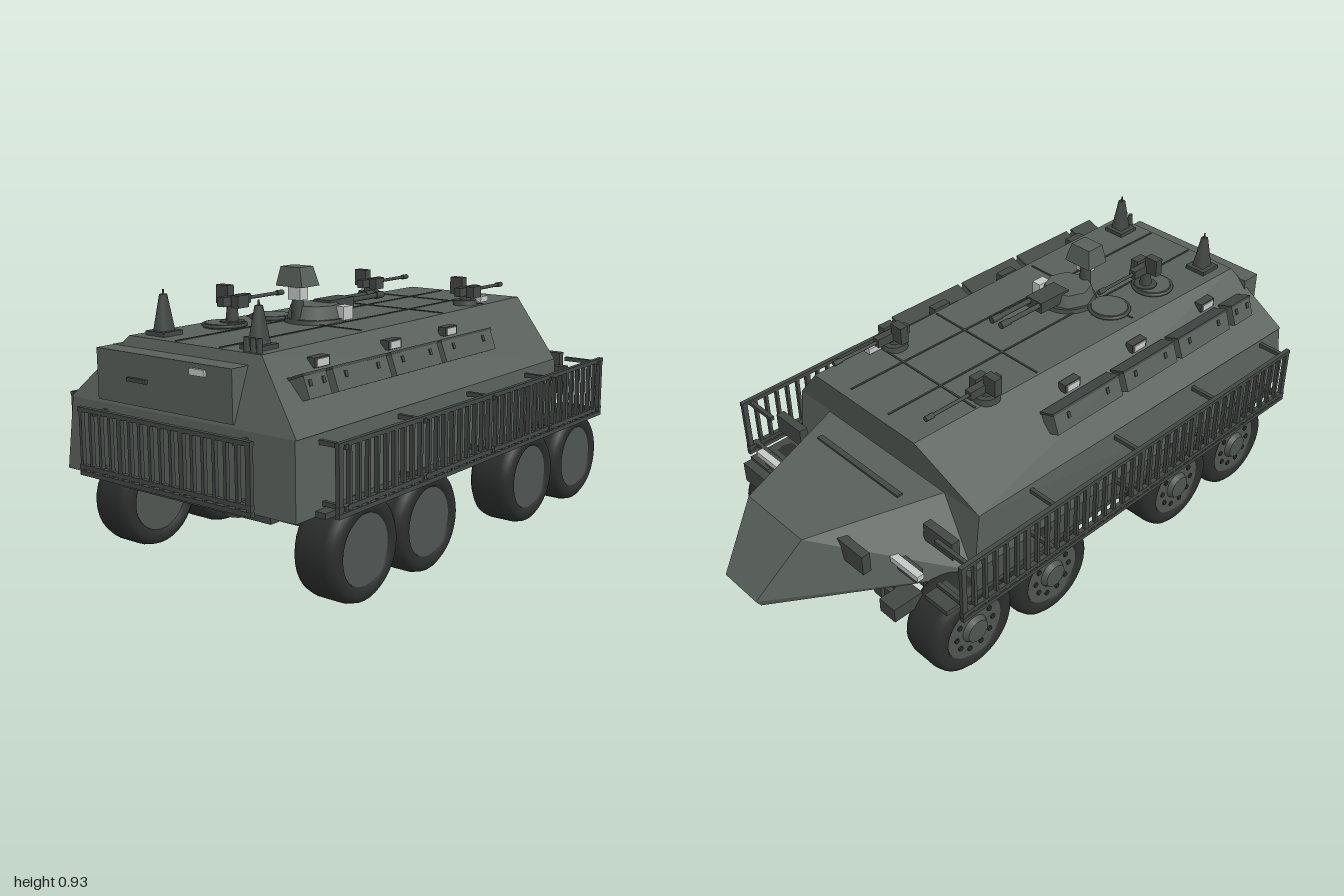
import * as THREE from 'three';
import { mergeGeometries } from 'three/addons/utils/BufferGeometryUtils.js';
import { ConvexGeometry } from 'three/addons/geometries/ConvexGeometry.js';

const mat = (name, color) => Object.assign(new THREE.MeshStandardMaterial({ color }), { name });
const hull = mat('armour grey green', 0x59605b);
const trim = mat('dark trim', 0x434845);
const rimGrey = mat('wheel grey', 0x4f5451);
const rubber = mat('tyre rubber', 0x2c2d2d);
const glass = mat('pale optics', 0xc4c8c6);

// Local frame: x forward, y up, z to the vehicle's right-hand side.
const box = (l, h, w, x = 0, y = 0, z = 0) => new THREE.BoxGeometry(l, h, w).translate(x, y, z);
const cyl = (r0, r1, h, n = 20) => new THREE.CylinderGeometry(r0, r1, h, n);
const rod = (r, l, x, y, z, n = 10) => cyl(r, r, l, n).rotateZ(Math.PI / 2).translate(x, y, z);
const solid = (pts) => new ConvexGeometry(
  pts.flatMap(([x, y, z]) => [new THREE.Vector3(x, y, z), new THREE.Vector3(x, y, -z)]));

export function createModel() {
  const root = new THREE.Group();
  const car = new THREE.Group();
  car.name = 'armouredCarrier';
  car.rotation.y = 0.609;
  root.add(car);

  const add = (name, geo, m, parent = car) => {
    const mesh = new THREE.Mesh(geo, m);
    mesh.name = name;
    parent.add(mesh);
    return mesh;
  };
  const sides = [-1, 1];

  // Hull: lower tub, sloped upper body and wedge nose
  add('lowerHull', solid([[-0.895, 0.31, 0.47], [-0.877, 0.54, 0.455], [0.595, 0.54, 0.44], [0.62, 0.31, 0.44]]), hull);
  add('upperHull', solid([[-0.877, 0.54, 0.46], [-0.8, 0.742, 0.27], [0.665, 0.742, 0.24], [0.595, 0.54, 0.44]]), hull);
  add('nose', solid([[0.58, 0.538, 0.29], [1.02, 0.52, 0.135], [1.17, 0.33, 0.08], [1.155, 0.305, 0.08], [0.58, 0.305, 0.455]]), hull);
  add('rearDoor', box(0.07, 0.16, 0.56, -0.845, 0.63, -0.05), hull);
  add('rearDoorHandle', box(0.012, 0.012, 0.08, -0.885, 0.63, -0.15), trim);
  add('rearLamp', box(0.01, 0.02, 0.06, -0.883, 0.685, 0.1), glass);
  add('noseBar', box(0.02, 0.012, 0.4, 0.7, 0.534, 0), trim);

  // Roof seams
  const seams = [-0.3, 0.155, 0.42].map((x) => box(0.006, 0.004, 0.48, x, 0.743, 0));
  for (const z of [-0.08, 0.1]) seams.push(box(1.42, 0.004, 0.006, -0.08, 0.743, z));
  add('roofSeams', mergeGeometries(seams), trim);

  // Fittings repeated on both sides
  for (const s of sides) {
    add('fender', box(1.6, 0.018, 0.1, -0.01, 0.318, s * 0.455), trim);
    add('frontStep', box(0.11, 0.05, 0.07, 0.83, 0.28, s * 0.34), trim);
    add('sidePlate', box(0.03, 0.065, 0.13, 0.69, 0.465, s * 0.375), trim);
    add('nosePlate', box(0.03, 0.07, 0.13, 0.915, 0.465, s * 0.235), trim);
    add('headlampBracket', box(0.03, 0.04, 0.13, 0.79, 0.39, s * 0.32), trim);
    add('headlamp', box(0.025, 0.02, 0.13, 0.805, 0.41, s * 0.345), glass);

    // Storage boxes lying on the upper slope
    for (const [x, l] of [[-0.71, 0.1], [-0.5, 0.26], [-0.22, 0.25], [0.08, 0.3]]) {
      const b = add('storageBox', box(l, 0.07, 0.055), hull);
      b.position.set(x, 0.65, s * 0.373);
      b.rotation.x = -s * 0.35;
      add('boxLid', box(l + 0.006, 0.008, 0.06, 0, 0.036, 0), trim, b);
      for (const e of [-1, 1]) add('boxLatch', box(0.012, 0.02, 0.01, e * l * 0.3, 0.01, s * 0.026), trim, b);
    }
    for (const x of [-0.6, -0.24, 0.08]) {
      add('visionBlock', box(0.07, 0.03, 0.03, x, 0.7, s * 0.312), trim);
      add('visionGlass', box(0.055, 0.024, 0.006, x, 0.699, s * 0.328), glass);
    }

    // Antenna base with whip
    add('antennaBase', cyl(0.012, 0.036, 0.125, 4).rotateY(Math.PI / 4).translate(-0.725, 0.805, s * 0.195), trim);
    add('antenna', cyl(0.003, 0.004, 0.025, 6).translate(-0.725, 0.87, s * 0.195), trim);
    add('antennaFoot', box(0.08, 0.016, 0.08, -0.725, 0.748, s * 0.195), trim);
  }
  for (const z of [0.2, 0.225, 0.25]) add('rearLauncher', cyl(0.008, 0.01, 0.05, 8).translate(-0.785, 0.76, z), trim);

  // Slat armour: rails, bars and hull brackets
  const slats = (len, n) => {
    const parts = [0.32, 0.34, 0.522].map((y) => box(len, 0.014, 0.016, 0, y, 0));
    for (let i = 0; i <= n; i++) {
      const wide = i % 6 === 0;
      parts.push(box(wide ? 0.018 : 0.011, 0.205, 0.014, (i / n - 0.5) * (len - 0.02), 0.422, 0));
    }
    return mergeGeometries(parts);
  };
  for (const s of sides) {
    add('sideSlats', slats(1.575, 36).translate(-0.012, 0, s * 0.545 - 0.008), trim);
    for (const x of [-0.77, -0.39, 0, 0.38, 0.74])
      for (const y of [0.34, 0.515]) add('slatBracket', box(0.014, 0.014, 0.14, x, y, s * 0.48), trim);
  }
  add('rearSlats', slats(0.71, 16).rotateY(Math.PI / 2).translate(-0.925, 0, -0.015), trim);
  for (const z of [-0.3, 0.28])
    for (const y of [0.34, 0.515]) add('slatBracket', box(0.06, 0.014, 0.014, -0.9, y, z), trim);

  // Wheels: wide tyre, rim disc and hub; bolts on the left side only
  const tyre = new THREE.LatheGeometry(
    [[0.107, -0.064], [0.116, -0.078], [0.142, -0.079], [0.158, -0.066], [0.165, -0.042], [0.165, 0.042],
      [0.158, 0.066], [0.142, 0.079], [0.116, 0.078], [0.107, 0.064]].map(([r, y]) => new THREE.Vector2(r, y)), 36);
  const rim = cyl(0.11, 0.11, 0.14, 32);
  const hub = cyl(0.04, 0.05, 0.02).translate(0, 0.078, 0);
  const bolts = mergeGeometries(Array.from({ length: 10 }, (_, i) => {
    const a = (i / 10) * Math.PI * 2;
    return cyl(0.009, 0.009, 0.008, 8).translate(Math.cos(a) * 0.075, 0.071, Math.sin(a) * 0.075);
  }));
  const axles = [-0.615, -0.29, 0.335, 0.675];
  for (const x of axles) {
    for (const s of sides) {
      const wheel = new THREE.Group();
      wheel.name = 'wheel';
      wheel.position.set(x, 0.165, s * 0.425);
      wheel.rotation.x = s * Math.PI / 2;
      car.add(wheel);
      add('tyre', tyre, rubber, wheel);
      add('rim', rim, rimGrey, wheel);
      if (s < 0) {
        add('wheelHub', hub, rimGrey, wheel);
        add('wheelBolts', bolts, rubber, wheel);
      }
      add('springArm', box(0.05, 0.1, 0.03, x, 0.25, s * 0.3), trim);
    }
    add('axle', cyl(0.018, 0.018, 0.72, 12).rotateX(Math.PI / 2).translate(x, 0.205, 0), trim);
    add('differential', cyl(0.05, 0.05, 0.05, 20).translate(x, 0.205, 0), trim);
  }

  // Chassis frame and driveline
  for (const s of sides) add('frameRail', box(1.66, 0.05, 0.035, 0.02, 0.28, s * 0.25), trim);
  for (const x of [-0.8, -0.45, -0.12, 0.16, 0.5, 0.82]) add('crossMember', box(0.035, 0.035, 0.62, x, 0.275, 0), trim);
  add('frontCrossBeam', box(0.04, 0.025, 0.72, 0.8, 0.29, 0), trim);
  add('driveShaft', rod(0.018, 1.3, 0.03, 0.215, 0), trim);
  add('transferCase', box(0.14, 0.08, 0.12, 0.02, 0.24, 0), trim);

  // Roof hatches
  for (const [x, z] of [[-0.5, -0.155], [-0.283, -0.15]]) {
    add('hatch', cyl(0.062, 0.068, 0.016, 28).translate(x, 0.749, z), hull);
    add('hatchRing', new THREE.TorusGeometry(0.068, 0.006, 8, 28).rotateX(Math.PI / 2).translate(x, 0.75, z), trim);
  }

  // Main weapon station: low turret with twin barrels
  const turret = new THREE.Group();
  turret.name = 'turret';
  turret.position.set(-0.235, 0.742, 0);
  car.add(turret);
  add('turretRing', cyl(0.098, 0.102, 0.014, 28).translate(0, 0.007, 0), trim, turret);
  add('turretBody', cyl(0.08, 0.094, 0.05, 8).translate(0, 0.032, 0), hull, turret);
  add('opticBox', box(0.05, 0.045, 0.035, 0.045, 0.03, 0.085), glass, turret);
  add('gunCradle', box(0.13, 0.04, 0.07, 0.1, 0.045, 0), trim, turret);
  for (const z of [-0.022, 0.022]) {
    add('gunBarrel', rod(0.009, 0.2, 0.22, 0.052, z), trim, turret);
    add('gunMuzzle', rod(0.012, 0.04, 0.32, 0.052, z), trim, turret);
  }

  // Raised sight behind the turret
  const sight = new THREE.Group();
  sight.name = 'raisedSight';
  sight.position.set(-0.31, 0, -0.01);
  car.add(sight);
  add('sightMast', cyl(0.016, 0.024, 0.13, 10).translate(0, 0.805, 0), trim, sight);
  add('sightHead', solid([[-0.044, 0.865, 0.055], [0.044, 0.865, 0.055], [-0.036, 0.928, 0.04], [0.03, 0.928, 0.04]]), hull, sight);
  add('sightGlass', box(0.04, 0.04, 0.05, -0.01, 0.842, 0.01), glass, sight);

  // Machine gun stations
  for (const [x, z, lift] of [[0.36, -0.225, 0], [0.38, 0.19, 0], [-0.48, -0.14, 0.035]]) {
    const gun = new THREE.Group();
    gun.name = 'machineGun';
    gun.position.set(x, 0.74, z);
    car.add(gun);
    add('gunBase', cyl(0.04, 0.045, 0.02, 16).translate(0, 0.01, 0), trim, gun);
    add('gunPost', cyl(0.016, 0.022, 0.05 + lift, 10).translate(0, 0.03 + lift / 2, 0), trim, gun);
    add('gunReceiver', box(0.13, 0.03, 0.026, 0.01, 0.05 + lift, 0), trim, gun);
    add('ammoBox', box(0.05, 0.04, 0.03, 0, 0.05 + lift, 0.035), trim, gun);
    add('gunShield', box(0.03, 0.06, 0.05, 0, 0.068 + lift, -0.03), trim, gun);
    add('barrel', rod(0.006, 0.16, 0.15, 0.05 + lift, 0), trim, gun);
    add('muzzle', rod(0.009, 0.03, 0.23, 0.05 + lift, 0), trim, gun);
  }
  add('gunLens', box(0.05, 0.02, 0.025, 0.45, 0.757, 0.215), glass);

  return root;
}
